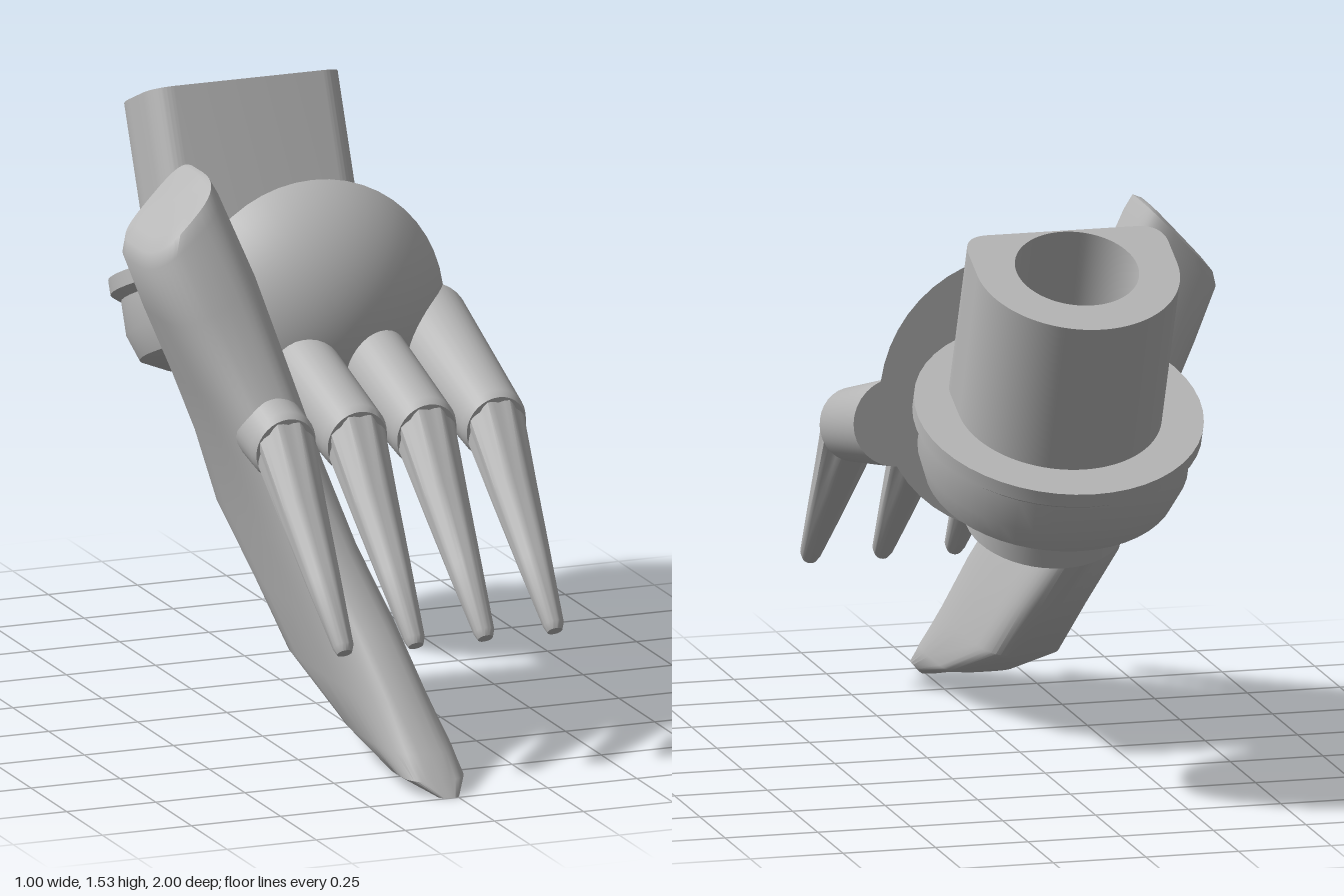
import * as THREE from 'three';
import { toCreasedNormals } from 'three/addons/utils/BufferGeometryUtils.js';

const grey = new THREE.MeshStandardMaterial({ color: 0xb8b8b8 });
grey.name = 'plain grey';

function add(parent, name, geometry) {
  const mesh = new THREE.Mesh(geometry, grey);
  mesh.name = name;
  parent.add(mesh);
  return mesh;
}

// Skin through rings; point(r, a) gives the vertex of ring r at angle a.
function loft(rings, sides, point) {
  const pos = [], index = [];
  for (let r = 0; r < rings; r++) {
    for (let i = 0; i < sides; i++) pos.push(...point(r, (i / sides) * Math.PI * 2));
  }
  for (let r = 0; r < rings - 1; r++) {
    for (let i = 0; i < sides; i++) {
      const j = (i + 1) % sides;
      const a = r * sides + i, b = r * sides + j, c = b + sides, d = a + sides;
      index.push(a, b, c, a, c, d);
    }
  }
  // end caps
  for (const r of [0, rings - 1]) {
    const o = r * sides, centre = pos.length / 3, mid = [0, 0, 0];
    for (let i = 0; i < sides; i++) for (let k = 0; k < 3; k++) mid[k] += pos[(o + i) * 3 + k] / sides;
    pos.push(...mid);
    for (let i = 0; i < sides; i++) {
      const j = (i + 1) % sides;
      if (r === 0) index.push(centre, o + j, o + i);
      else index.push(centre, o + i, o + j);
    }
  }
  const g = new THREE.BufferGeometry();
  g.setAttribute('position', new THREE.Float32BufferAttribute(pos, 3));
  g.setIndex(index);
  return toCreasedNormals(g, 0.7);
}

// Finger section: rings of [x, half width, bottom z, bottom y, top z, top y], optionally fluted.
function fingerPart(rings, flute = 0) {
  return loft(rings.length, 32, (r, a) => {
    const [x, w, z0, y0, z1, y1] = rings[r];
    const f = 1 - flute * (1 - r / (rings.length - 1)) * (0.5 + 0.5 * Math.cos(a * 8));
    const s = Math.sin(a) * f;
    return [x + Math.cos(a) * w * f, (y0 + y1) / 2 + s * (y1 - y0) / 2, (z0 + z1) / 2 + s * (z1 - z0) / 2];
  });
}

// Signed power, used for rounded-box cross-sections
const bend = (v, p) => Math.sign(v) * Math.abs(v) ** p;

export function createModel() {
  const model = new THREE.Group();
  model.name = 'clawHand';

  // Palm: shallow dome with a flat back
  const palm = new THREE.Group();
  palm.name = 'palm';
  palm.position.set(0.05, 1.0, -0.15);
  model.add(palm);
  const dome = new THREE.SphereGeometry(0.421, 48, 16, 0, Math.PI * 2, 0, 1.073);
  dome.translate(0, -0.201, 0).rotateX(Math.PI / 2);
  add(palm, 'palmDome', dome);
  add(palm, 'palmBack', new THREE.CircleGeometry(0.37, 48).rotateY(Math.PI));

  // Four fingers: sleeve and fluted claw
  [[-0.24, -0.24, 0.1], [-0.04, -0.04, 0.1], [0.155, 0.16, 0.1], [0.35, 0.37, 0.12]].forEach(([x, xBack, wBack], i) => {
    const finger = new THREE.Group();
    finger.name = 'finger' + (i + 1);
    model.add(finger);
    add(finger, 'fingerSleeve', fingerPart([
      [xBack, wBack, -0.15, 0.82, -0.15, 1.06],
      [x, 0.09, 0.35, 0.72, 0.39, 0.91],
      [x, 0.083, 0.37, 0.72, 0.41, 0.895],
    ]));
    add(finger, 'fingerClaw', fingerPart([
      [x, 0.082, 0.36, 0.725, 0.405, 0.895],
      [x, 0.064, 0.50, 0.60, 0.54, 0.72],
      [x, 0.046, 0.64, 0.475, 0.68, 0.55],
      [x, 0.028, 0.77, 0.36, 0.81, 0.395],
      [x, 0.02, 0.785, 0.35, 0.815, 0.375],
    ], 0.12));
  });

  // Thumb blade: levels of [y, centre x, half width, back z, front z, tilt]
  const levels = [
    [0.0, -0.02, 0.03, 0.93, 1.0, 0],
    [0.04, -0.035, 0.085, 0.78, 0.97, 0],
    [0.1, -0.045, 0.1, 0.5, 0.915, 0],
    [0.22, -0.07, 0.105, 0.15, 0.81, 0],
    [0.38, -0.105, 0.105, 0.0, 0.68, 0],
    [0.55, -0.15, 0.105, -0.15, 0.53, 0],
    [0.75, -0.205, 0.11, -0.15, 0.41, 0],
    [0.93, -0.26, 0.115, -0.15, 0.32, 0.2],
    [1.15, -0.33, 0.12, -0.15, 0.2, 0.5],
    [1.33, -0.4, 0.105, -0.15, 0.15, 0.9],
    [1.37, -0.405, 0.09, -0.15, 0.13, 1.05],
    [1.385, -0.4, 0.07, -0.13, 0.08, 1.1],
  ];
  add(model, 'thumbBlade', loft(levels.length, 40, (r, a) => {
    const [y, x, w, z0, z1, tilt] = levels[r];
    const c = Math.cos(a), dx = w * bend(Math.sin(a), 0.65);
    const dz = bend(c, c > 0 ? 0.8 : 0.35) * (z1 - z0) / 2;
    return [x + dx, y + tilt * dx, (z0 + z1) / 2 + dz];
  }));

  // Neck between palm and wrist
  const neck = new THREE.LatheGeometry([
    [0.23, -0.4], [0.21, -0.25], [0.22, -0.21], [0.225, -0.18], [0.2, -0.15], [0.2, -0.14],
  ].map(([r, z]) => new THREE.Vector2(r, z)), 32);
  neck.rotateX(Math.PI / 2).scale(1, 0.55, 1);
  add(model, 'neck', neck).position.set(0.05, 1.05, 0);

  // Wrist assembly, leaning back
  const wrist = new THREE.Group();
  wrist.name = 'wrist';
  wrist.position.set(0.05, 1.05, -0.57);
  wrist.rotation.x = -0.41;
  model.add(wrist);

  // Rimmed bowl with a round foot
  const bowl = new THREE.LatheGeometry([
    [0, -0.363], [0.21, -0.363], [0.21, -0.25], [0.27, -0.25], [0.33, -0.22], [0.355, -0.15],
    [0.355, -0.06], [0.38, -0.04], [0.38, 0], [0, 0],
  ].map(([r, y]) => new THREE.Vector2(r, y)), 48);
  add(wrist, 'wristBowl', toCreasedNormals(bowl, 0.7));

  // Hollow socket: round at the back, flat at the front
  const outline = new THREE.Shape();
  outline.moveTo(0.27, 0);
  outline.absarc(0, 0, 0.27, 0, Math.PI, false);
  outline.lineTo(-0.27, -0.09);
  outline.quadraticCurveTo(-0.27, -0.168, -0.2, -0.168);
  outline.lineTo(0.2, -0.168);
  outline.quadraticCurveTo(0.27, -0.168, 0.27, -0.09);
  const bore = new THREE.Path();
  bore.absarc(0, 0, 0.163, 0, Math.PI * 2, true);
  outline.holes.push(bore);
  const socket = new THREE.ExtrudeGeometry(outline, { depth: 0.462, bevelEnabled: false, curveSegments: 32 });
  socket.rotateX(-Math.PI / 2).translate(0, -0.01, 0);
  add(wrist, 'wristSocket', toCreasedNormals(socket, 0.6));

  return model;
}
